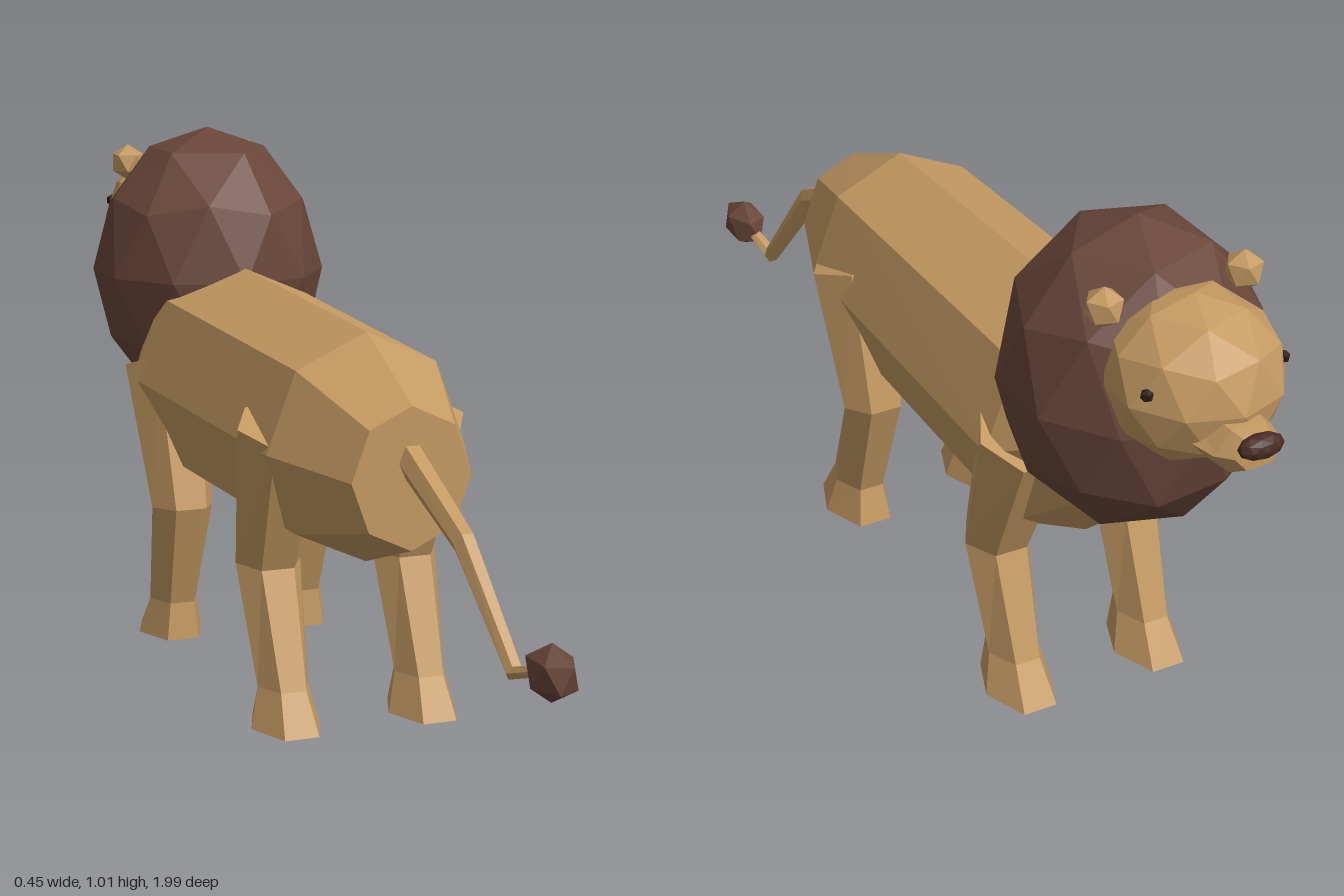
import * as THREE from 'three';

const flat = (name, color) => {
  const m = new THREE.MeshStandardMaterial({ color, flatShading: true });
  m.name = name;
  return m;
};

// One cross-section: n corners around a centre, spanned by x and a second axis v (scaled)
function ring(n, [x, y, z], rx, [vy, vz]) {
  return Array.from({ length: n }, (_, i) => {
    const a = (i / n) * Math.PI * 2;
    return [x + rx * Math.cos(a), y + vy * Math.sin(a), z + vz * Math.sin(a)];
  });
}

// Skin a list of equal-sized rings and close both ends
function loft(rings) {
  const pos = [];
  const n = rings[0].length;
  const tri = (...pts) => pts.forEach((p) => pos.push(...p));
  for (let k = 0; k < rings.length - 1; k++) {
    const a = rings[k], b = rings[k + 1];
    for (let i = 0; i < n; i++) {
      const j = (i + 1) % n;
      tri(a[i], a[j], b[j]);
      tri(a[i], b[j], b[i]);
    }
  }
  const first = rings[0], last = rings[rings.length - 1];
  for (let i = 1; i < n - 1; i++) {
    tri(first[0], first[i + 1], first[i]);
    tri(last[0], last[i], last[i + 1]);
  }
  const g = new THREE.BufferGeometry();
  g.setAttribute('position', new THREE.Float32BufferAttribute(pos, 3));
  g.computeVertexNormals();
  return g;
}

// Faceted ball with a corner pointing straight up
function ball(detail, [x, y, z], [rx, ry, rz]) {
  const g = new THREE.IcosahedronGeometry(1, detail);
  g.rotateZ(-Math.atan(2 / (1 + Math.sqrt(5))));
  return g.scale(rx, ry, rz).translate(x, y, z);
}

export function createModel() {
  const group = new THREE.Group();
  group.name = 'lion';
  const fur = flat('tan fur', 0xc49a62);
  const hair = flat('brown mane', 0x694639);
  const noseColor = flat('dark brown nose', 0x4a2c24);
  const eyeColor = flat('dark eye', 0x2a1a15);
  const add = (name, geometry, material) => {
    const mesh = new THREE.Mesh(geometry, material);
    mesh.name = name;
    group.add(mesh);
  };

  // Body, from the chest to the rump: z, centre height, half width, half height
  const body = [
    [-0.6, 0.6, 0.13, 0.17],
    [-0.45, 0.527, 0.207, 0.227],
    [0.28, 0.52, 0.19, 0.21],
    [0.49, 0.508, 0.112, 0.128],
  ];
  add('body', loft(body.map(([z, y, rx, ry]) => ring(8, [0, y, z], rx, [ry, 0]))), fur);

  // Mane and head
  add('mane', ball(1, [0, 0.72, -0.59], [0.235, 0.29, 0.24]), hair);
  add('head', ball(1, [0, 0.806, -0.77], [0.156, 0.146, 0.163]), fur);
  add('muzzle', loft([
    ring(6, [0, 0.765, -0.975], 0.045, [0.03, 0]),
    ring(6, [0, 0.757, -0.94], 0.062, [0.045, 0]),
    ring(6, [0, 0.757, -0.84], 0.085, [0.05, 0]),
  ]), fur);
  add('nose', ball(1, [0, 0.78, -0.978], [0.042, 0.022, 0.022]), noseColor);

  // Legs: height, z, half width, half depth, tilt of the cross-section
  const frontLeg = [
    [0.555, -0.46, 0.085, 0.09, 0.35],
    [0.28, -0.363, 0.063, 0.066, 0.05],
    [0.075, -0.428, 0.049, 0.066, 0],
    [0, -0.45, 0.066, 0.098, 0],
  ];
  const hindLeg = [
    [0.555, 0.212, 0.085, 0.09, -0.3],
    [0.29, 0.136, 0.063, 0.062, -0.1],
    [0.075, 0.213, 0.049, 0.066, 0],
    [0, 0.227, 0.066, 0.1, 0],
  ];
  const legGeometry = (profile, s) => loft(profile.map(([y, z, rx, rz, tilt]) =>
    ring(6, [s * 0.135, y, z], rx, [rz * tilt, rz])));

  for (const [side, s] of [['right', 1], ['left', -1]]) {
    add(side + 'FrontLeg', legGeometry(frontLeg, s), fur);
    add(side + 'HindLeg', legGeometry(hindLeg, s), fur);
    add(side + 'Ear', ball(0, [s * 0.132, 0.93, -0.71], [0.036, 0.037, 0.036]), fur);
    add(side + 'Eye', ball(0, [s * 0.128, 0.835, -0.842], [0.012, 0.012, 0.012]), eyeColor);
  }

  // Tail with a tuft at its tip
  add('tail', loft([
    ring(6, [0, 0.55, 0.46], 0.026, [0.03, 0.012]),
    ring(6, [0.01, 0.443, 0.69], 0.021, [0.02, 0.014]),
    ring(6, [0.042, 0.253, 0.825], 0.016, [0.015, 0.008]),
    ring(6, [0.055, 0.283, 0.92], 0.012, [0.012, 0]),
  ]), fur);
  add('tailTuft', ball(0, [0.055, 0.283, 0.935], [0.042, 0.05, 0.068]), hair);

  return group;
}
